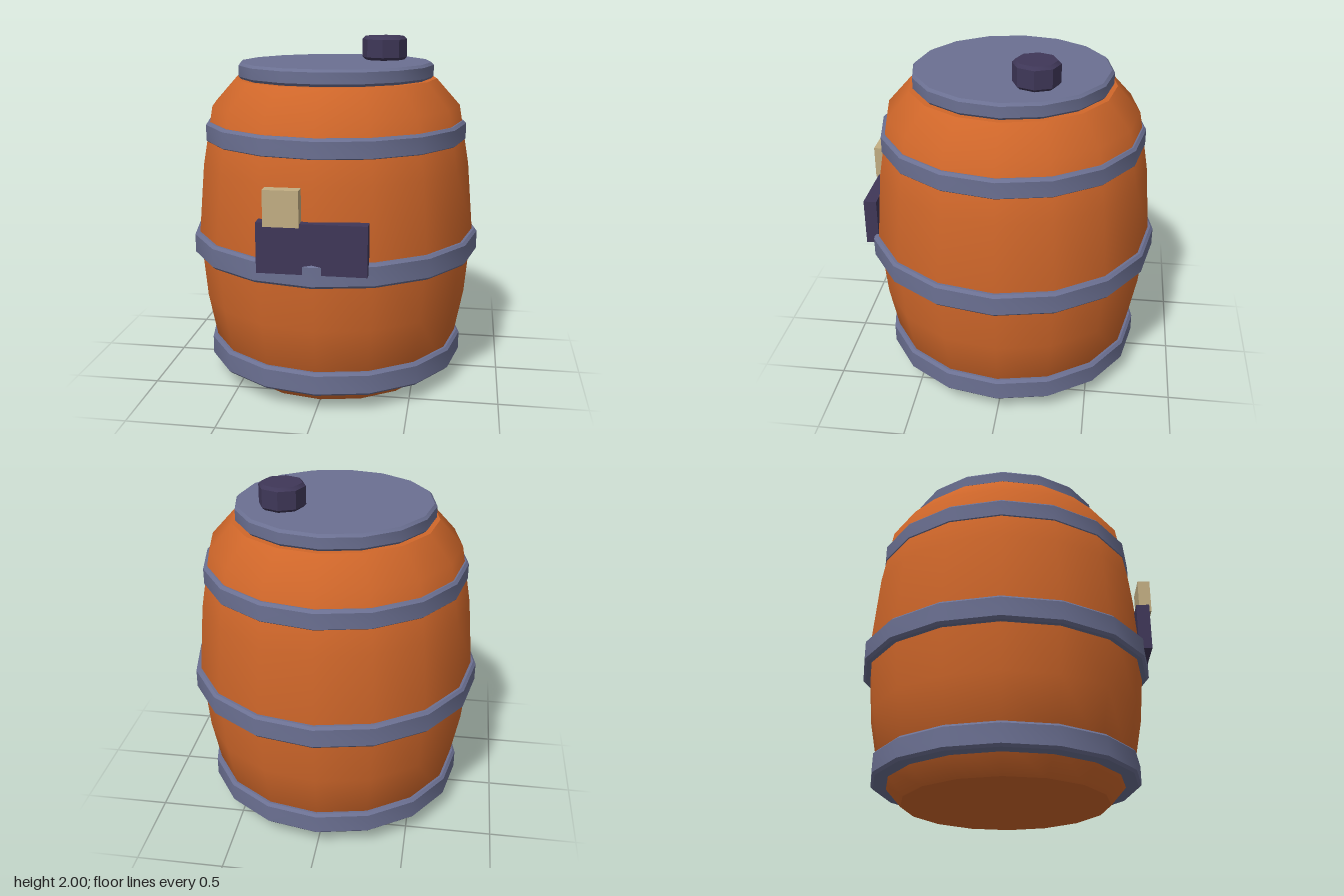
import * as THREE from 'three';
import { toCreasedNormals } from 'three/addons/utils/BufferGeometryUtils.js';

const material = (color) => new THREE.MeshStandardMaterial({ color });
const WOOD = material(0xd0672a);
const METAL = material(0x6b7092);
const DARK = material(0x3f3758);
const PAPER = material(0xc2ae83);

// Turned part: [radius, height] pairs from bottom to top, sharp only at strong edges
function turned(name, profile, sides, mat) {
  const points = profile.map(([r, y]) => new THREE.Vector2(r, y));
  const geometry = toCreasedNormals(new THREE.LatheGeometry(points, sides), 0.72);
  const mesh = new THREE.Mesh(geometry, mat);
  mesh.name = name;
  return mesh;
}

// Disc or ring profile with small bevels on its outer edges
const bevelled = (inner, outer, y0, y1, b) => [
  [inner, y0], [outer - b, y0], [outer, y0 + b], [outer, y1 - b], [outer - b, y1], [inner, y1],
];

export function createModel() {
  const group = new THREE.Group();
  group.name = 'barrel';

  // Bulging wooden body, closed at both ends
  group.add(turned('body', [
    [0, 0], [0.59, 0], [0.72, 0.15], [0.785, 0.49], [0.82, 0.885],
    [0.785, 1.28], [0.725, 1.62], [0.59, 1.77], [0, 1.77],
  ], 16, WOOD));

  // Metal hoops
  [['lowerHoop', 0.765, 0.1, 0.235], ['middleHoop', 0.85, 0.75, 0.885], ['upperHoop', 0.765, 1.41, 1.53]]
    .forEach(([name, r, y0, y1]) => group.add(turned(name, bevelled(0.65, r, y0, y1, 0.015), 16, METAL)));

  // Lid and its stopper
  group.add(turned('lid', bevelled(0, 0.57, 1.77, 1.862, 0.015), 16, METAL));
  const stopper = turned('stopper', bevelled(0, 0.132, 1.86, 2, 0.018), 8, DARK);
  stopper.position.set(0.27, 0, -0.16);
  group.add(stopper);

  // Front plate with a rounded notch in its lower edge
  const plate = new THREE.Shape();
  plate.moveTo(-0.295, 0.826);
  plate.lineTo(-0.05, 0.826);
  plate.lineTo(-0.05, 0.855);
  plate.quadraticCurveTo(-0.035, 0.878, 0, 0.878);
  plate.quadraticCurveTo(0.035, 0.878, 0.05, 0.855);
  plate.lineTo(0.05, 0.826);
  plate.lineTo(0.293, 0.826);
  plate.lineTo(0.293, 1.1);
  plate.lineTo(-0.295, 1.1);
  plate.closePath();
  const frontPlate = new THREE.Mesh(
    new THREE.ExtrudeGeometry(plate, { depth: 0.075, bevelEnabled: false, curveSegments: 4 }), DARK);
  frontPlate.name = 'frontPlate';
  frontPlate.position.z = 0.765;
  group.add(frontPlate);

  // Pale tag standing on the plate
  const tag = new THREE.Mesh(new THREE.BoxGeometry(0.19, 0.195, 0.07), PAPER);
  tag.name = 'tag';
  tag.position.set(-0.157, 1.18, 0.823);
  group.add(tag);

  return group;
}
